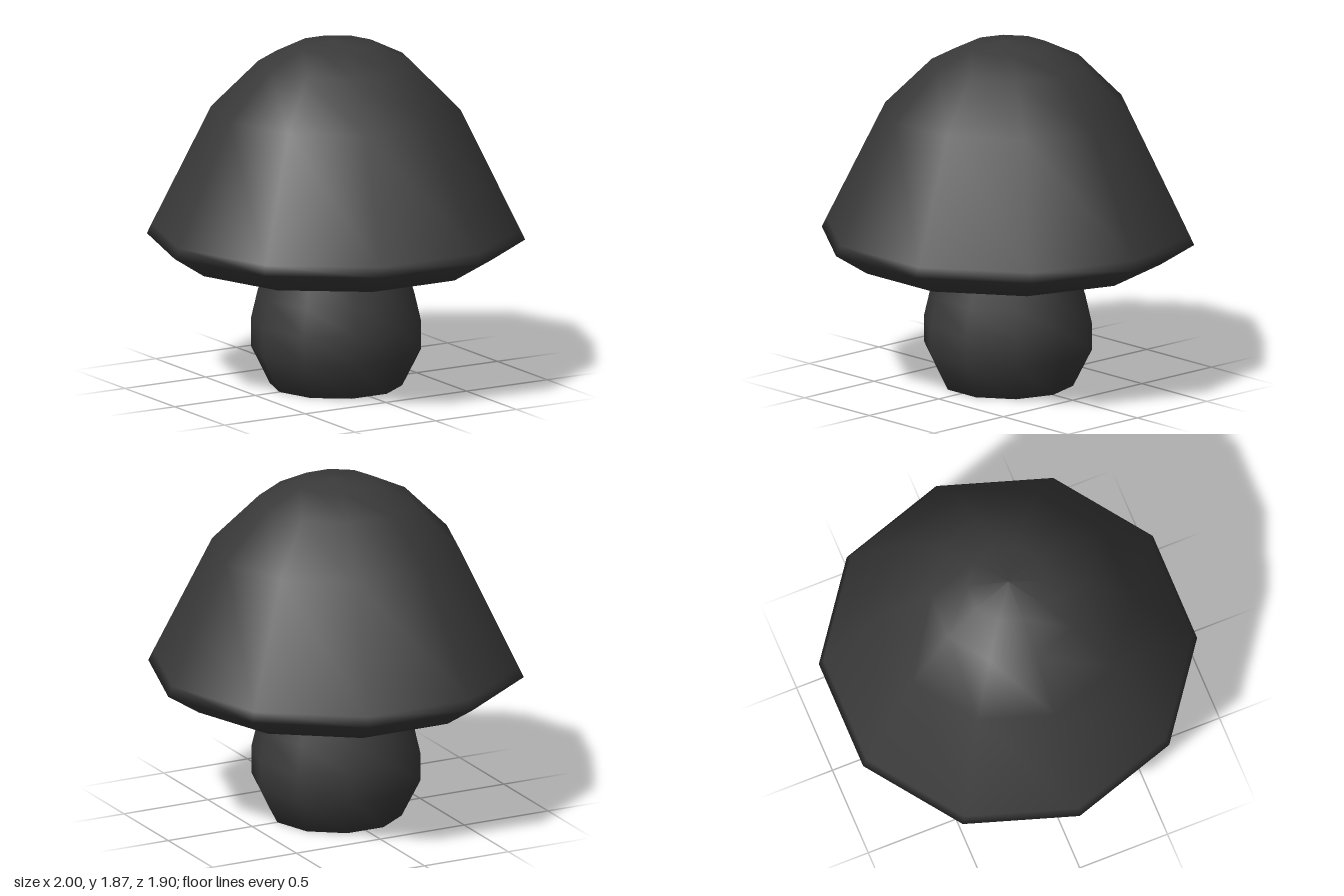
import * as THREE from 'three';

const SIDES = 10;

// Ten-sided turned part with smooth normals; a corner points along +x and -x.
function turned(name, profile, material) {
  const points = profile.map(([r, y]) => new THREE.Vector2(r, y));
  const geometry = new THREE.LatheGeometry(points, SIDES);
  geometry.rotateY(Math.PI / 2);
  const mesh = new THREE.Mesh(geometry, material);
  mesh.name = name;
  return mesh;
}

export function createModel() {
  const group = new THREE.Group();
  group.name = 'mushroom';
  const charcoal = new THREE.MeshStandardMaterial({ color: 0x3a3a3a });

  // Stem: closed base, bulging low down and narrowing into the cap
  group.add(turned('stem', [
    [0, 0], [0.35, 0], [0.45, 0.2], [0.45, 0.35], [0.415, 0.5], [0.36, 0.68], [0.29, 0.9],
  ], charcoal));

  // Cap: hollow underside, steep inner lip, bevelled rim with a narrow edge band, dome
  group.add(turned('cap', [
    [0, 0.92], [0.5, 0.9], [0.74, 0.83], [0.82, 0.685],
    [1, 0.8], [0.975, 0.853], [0.66, 1.495], [0.41, 1.745], [0.215, 1.84], [0, 1.87],
  ], charcoal));

  return group;
}
